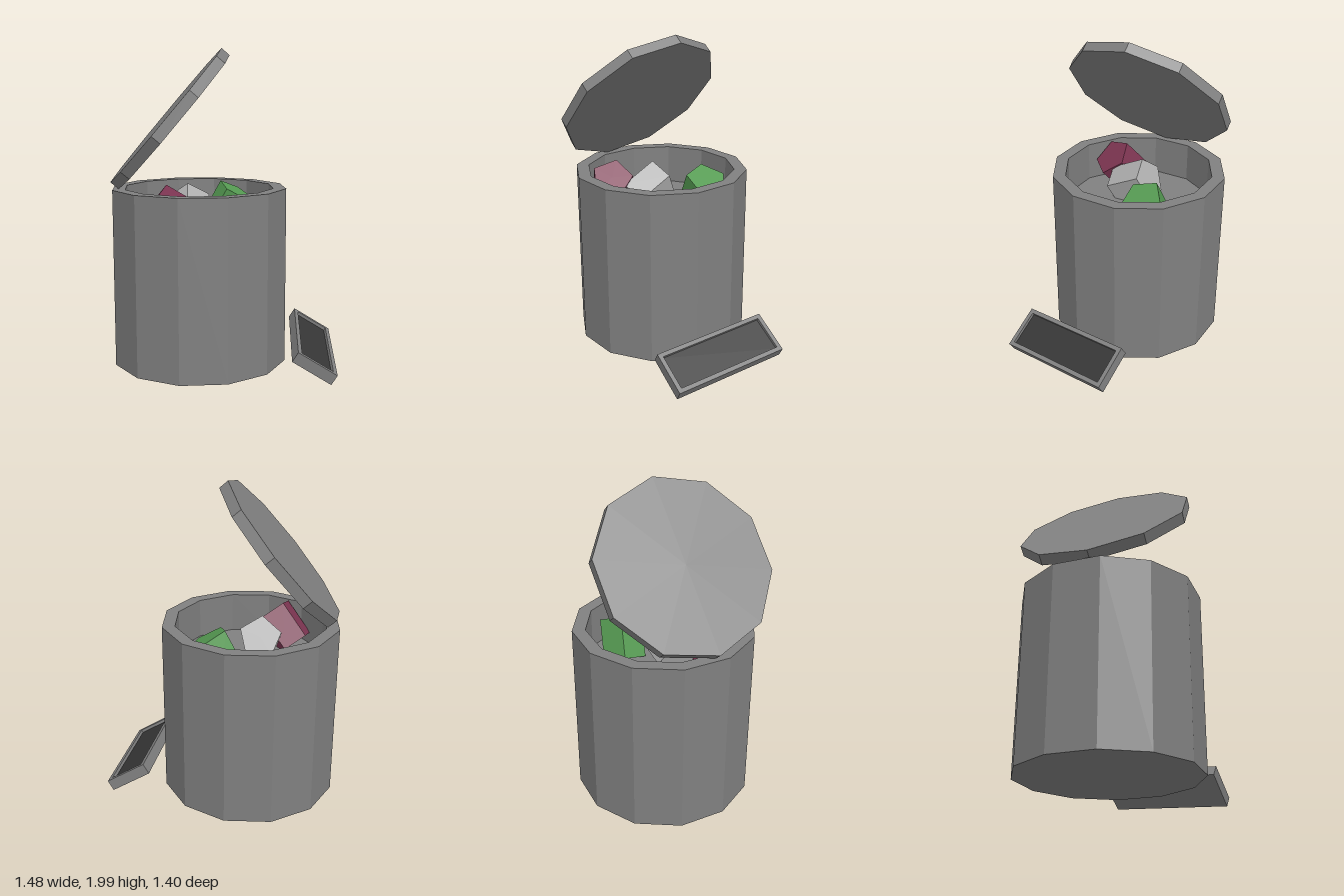
import * as THREE from 'three';

const mat = (color) => new THREE.MeshStandardMaterial({ color, flatShading: true });
const V = (a) => new THREE.Vector3(...a);

// Turn an object so its local y follows `up` and its local z points towards `front`.
function orient(obj, up, front, pos) {
  const y = V(up).normalize();
  const z = V(front);
  z.addScaledVector(y, -z.dot(y)).normalize();
  const x = new THREE.Vector3().crossVectors(y, z);
  obj.quaternion.setFromRotationMatrix(new THREE.Matrix4().makeBasis(x, y, z));
  obj.position.set(...pos);
  return obj;
}

function mesh(name, geometry, material) {
  const m = new THREE.Mesh(geometry, material);
  m.name = name;
  return m;
}

export function createModel() {
  const group = new THREE.Group();
  group.name = 'openBin';
  const metal = mat(0x808080);

  // Twelve-sided bin with a thick rim and a shallow inside
  const profile = [[0, 0.05], [0.55, 0.05], [0.55, 1.15], [0.47, 1.15], [0.47, 0.9], [0, 0.9]]
    .map(([r, y]) => new THREE.Vector2(r, y));
  const bin = mesh('bin', new THREE.LatheGeometry(profile, 12).toNonIndexed(), metal);
  bin.geometry.computeVertexNormals();
  bin.position.set(-0.18, 0, 0.1);
  group.add(bin);

  // Ten-sided lid, tipped open
  const lid = mesh('lid', new THREE.CylinderGeometry(0.535, 0.535, 0.066, 10), metal);
  orient(lid, [-0.535, 0.646, 0.543], [0.215, 0.402, -0.267], [-0.283, 1.577, 0.247]);
  group.add(lid);

  // Five-sided rubbish blocks: name, colour, axis, direction of one corner, centre
  const blocks = [
    ['greenBlock', 0x559a52, [0.42, 0.87, -0.25], [-0.10, 0.08, 0.04], [-0.17, 0.99, -0.17]],
    ['greyBlock', 0xb0b0b0, [-0.6, 0.45, -0.64], [0.04, 0.12, 0.057], [-0.18, 1.0, 0.19]],
    ['redBlock', 0x7d3552, [0.65, 0.74, -0.16], [-0.105, 0.08, -0.01], [-0.16, 1.01, 0.42]],
  ];
  for (const [name, color, up, corner, pos] of blocks) {
    const block = mesh(name, new THREE.CylinderGeometry(0.133, 0.133, 0.25, 5), mat(color));
    group.add(orient(block, up, corner, pos));
  }

  // Framed tray leaning on the ground: extruded rim, backing and dark sunken panel
  const W = 0.275, L = 0.762, T = 0.07, B = 0.027, recess = 0.02;
  const rect = (Type, w, l) => new Type([[-w, -l], [w, -l], [w, l], [-w, l]]
    .map(([a, b]) => new THREE.Vector2(a / 2, b / 2)));
  const shape = rect(THREE.Shape, W, L);
  shape.holes.push(rect(THREE.Path, W - 2 * B, L - 2 * B));
  const rimGeo = new THREE.ExtrudeGeometry(shape, { depth: T, bevelEnabled: false });
  rimGeo.rotateX(-Math.PI / 2).translate(0, -T, 0);

  const tray = new THREE.Group();
  tray.name = 'tray';
  const panel = mesh('trayPanel', new THREE.BoxGeometry(W - 2 * B, 0.01, L - 2 * B), mat(0x363636));
  panel.position.y = -recess - 0.005;
  const backing = mesh('trayBacking', new THREE.BoxGeometry(W - 2 * B, T - recess - 0.01, L - 2 * B), metal);
  backing.position.y = -(T + recess + 0.01) / 2;
  tray.add(mesh('trayRim', rimGeo, metal), panel, backing);
  group.add(orient(tray, [0.45, 0.85, -0.27], [0.609, -0.073, 0.79], [0.416, 0.171, -0.334]));

  return group;
}
